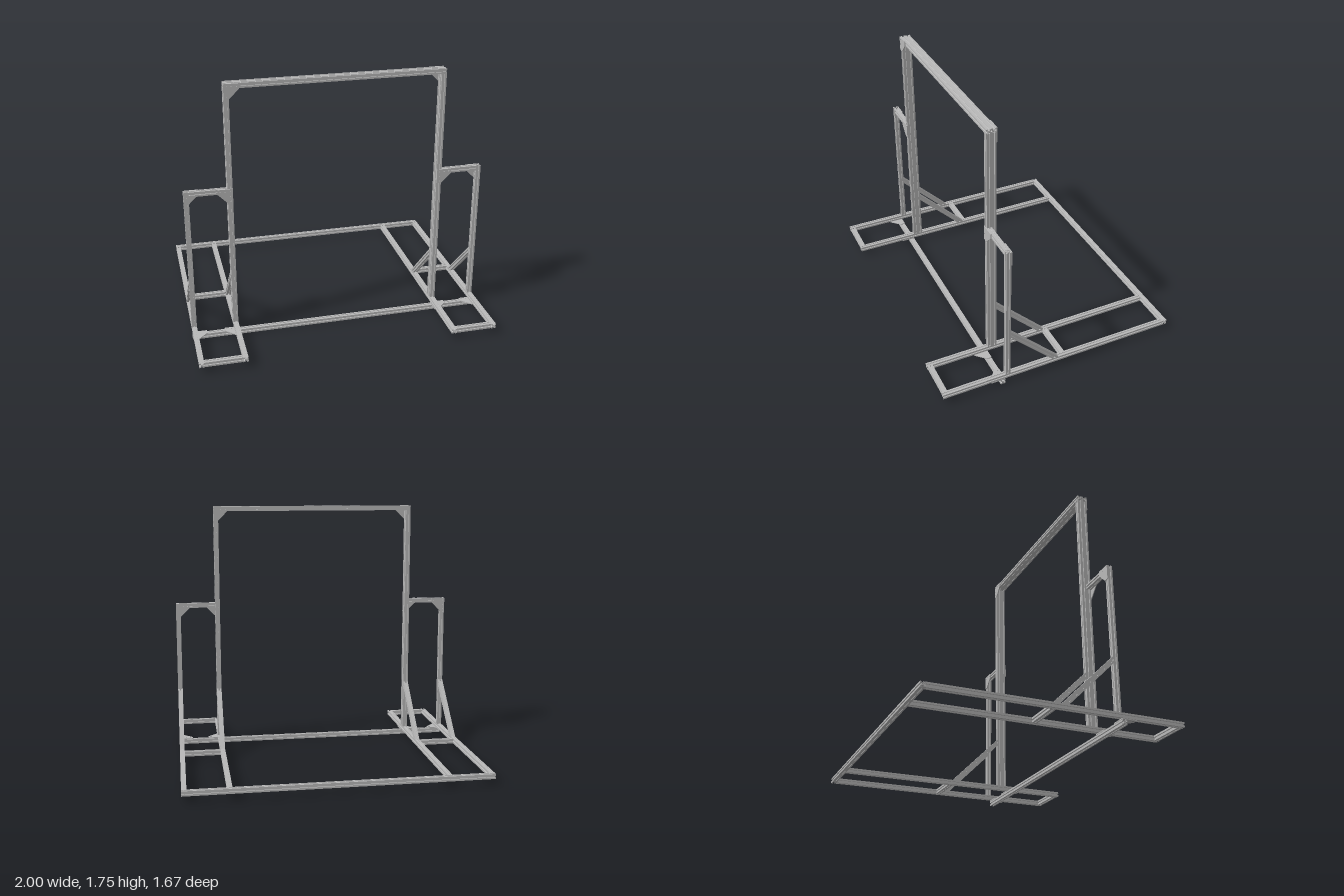
import * as THREE from 'three';

const P = 0.033; // side of one slotted profile cell
const aluminium = new THREE.MeshStandardMaterial({ color: 0xb8b8b8 });
aluminium.name = 'aluminium grey';

// T-slot outline, one or two cells wide along x
function profile(cells) {
  const slot = [[-0.14, 0], [-0.14, 0.07], [-0.28, 0.07], [-0.28, 0.14], [-0.15, 0.29],
    [0.15, 0.29], [0.28, 0.14], [0.28, 0.07], [0.14, 0.07], [0.14, 0]];
  const w = cells / 2, pts = [];
  const side = (cx, cy, dx, dy) => slot.forEach(([t, d]) =>
    pts.push(new THREE.Vector2((cx + dx * t - dy * d) * P, (cy + dy * t + dx * d) * P)));
  const corner = (x, y) => pts.push(new THREE.Vector2(x * P, y * P));
  corner(-w, -0.5);
  for (let i = 0; i < cells; i++) side(-w + 0.5 + i, -0.5, 1, 0);
  corner(w, -0.5);
  side(w, 0, 0, 1);
  corner(w, 0.5);
  for (let i = 0; i < cells; i++) side(w - 0.5 - i, 0.5, -1, 0);
  corner(-w, 0.5);
  side(-w, 0, 0, -1);
  const shape = new THREE.Shape(pts);
  // central bores, plus the cavity between two cells
  const hole = (x, r, n) => {
    const h = new THREE.Path();
    for (let i = 0; i < n; i++) {
      const a = -i * 2 * Math.PI / n;
      h[i ? 'lineTo' : 'moveTo']((x + r * Math.cos(a)) * P, r * Math.sin(a) * P);
    }
    h.closePath();
    shape.holes.push(h);
  };
  for (let i = 0; i < cells; i++) hole(-w + 0.5 + i, 0.1, 8);
  if (cells === 2) hole(0, 0.22, 4);
  return shape;
}

function beamGeometry(length, cells = 1) {
  return new THREE.ExtrudeGeometry(profile(cells), { depth: length, bevelEnabled: false, steps: 1 })
    .translate(0, 0, -length / 2);
}

export function createModel() {
  const model = new THREE.Group();
  model.name = 'profileFrame';
  const add = (name, geometry, x, y, z) => {
    const mesh = new THREE.Mesh(geometry, aluminium);
    mesh.name = name;
    mesh.position.set(x, y, z);
    model.add(mesh);
  };

  // Straight beams along an axis; double profiles are wide in z
  const alongX = (name, x0, x1, y, z, cells = 1) =>
    add(name, beamGeometry(Math.abs(x1 - x0), cells).rotateY(Math.PI / 2), (x0 + x1) / 2, y, z);
  const alongY = (name, x, y0, y1, z, cells = 1) =>
    add(name, beamGeometry(y1 - y0, cells).rotateZ(Math.PI / 2).rotateX(-Math.PI / 2), x, (y0 + y1) / 2, z);
  const alongZ = (name, x, y, z0, z1) =>
    add(name, beamGeometry(z1 - z0), x, y, (z0 + z1) / 2);

  // 45 degree brace mitred flat on the rail and upright on the post
  function brace(name, x, postBack) {
    const foot = 0.0755, run = 0.33, length = run * Math.SQRT2;
    const g = beamGeometry(length), p = g.attributes.position;
    for (let i = 0; i < p.count; i++) {
      p.setZ(i, p.getZ(i) < 0 ? -length / 2 - p.getY(i) : length / 2 + p.getY(i));
    }
    g.rotateX(-Math.PI / 4);
    g.computeVertexNormals();
    add(name, g, x, foot + run / 2, postBack - run / 2);
  }

  // Drilled corner plate: arms run from the corner along s*x and down (or along +z when flat)
  function plate(name, s, x, y, z, flat = false) {
    const size = 0.098, m = P / 2;
    const shape = new THREE.Shape([[0, 0], [size, 0], [size, -P], [P, -size], [0, -size]]
      .map(([a, b]) => new THREE.Vector2(s * a, b)));
    [[m, -m], [0.05, -m], [0.082, -m], [m, -0.05], [m, -0.082]].forEach(([a, b]) => {
      shape.holes.push(new THREE.Path().absarc(s * a, b, 0.004, 0, Math.PI * 2, true));
    });
    const g = new THREE.ExtrudeGeometry(shape, { depth: 0.006, bevelEnabled: false, curveSegments: 8 });
    if (flat) g.rotateX(-Math.PI / 2);
    add(name, g, x, y, z);
  }

  const railY = 0.059, postX = 0.703, outerX = 1 - P / 2;
  const postFront = 0.402, postBack = postFront - 2 * P, outerBack = postFront - P;

  // Base cross beams
  alongX('rearCrossBeam', -1, 1, railY, -0.821);
  alongX('lowerFrontBeam', -1, 1, P / 2, 0.42);

  // Portal top beam
  alongX('portalTopBeam', -postX - P / 2, postX + P / 2, 1.75 - P / 2, (postFront + postBack) / 2, 2);

  for (const s of [-1, 1]) {
    const side = s > 0 ? 'left' : 'right';
    const gapIn = s * (postX + P / 2), gapOut = s * (1 - P);

    // Base rails and short ties
    alongZ(side + 'OuterRail', s * outerX, railY, -0.8045, 0.836);
    alongZ(side + 'InnerRail', s * postX, railY, -0.8045, 0.836);
    alongX(side + 'FrontTie', gapIn, gapOut, railY, 0.816);
    alongX(side + 'BraceTie', gapIn, gapOut, railY, -0.027);

    // Portal post, lower side post and its arm
    alongY(side + 'PortalPost', s * postX, 0.0755, 1.75 - P, (postFront + postBack) / 2, 2);
    alongY(side + 'SidePost', s * outerX, 0.0755, 1.058, postFront - P / 2);
    alongX(side + 'SideArm', gapIn, gapOut, 1.058 - P / 2, postFront - P / 2);

    // Diagonal braces
    brace(side + 'PortalBrace', s * postX, postBack);
    brace(side + 'SideBrace', s * outerX, outerBack);

    // Corner plates
    plate(side + 'PortalPlate', -s, s * (postX + P / 2), 1.75, s < 0 ? postFront : postBack - 0.006);
    plate(side + 'ArmInnerPlate', s, s * (postX - P / 2), 1.058, postFront);
    plate(side + 'ArmOuterPlate', -s, s, 1.058, outerBack - 0.006);
    plate(side + 'BaseInnerPlate', s, s * (postX - P / 2), 0.035, 0.404, true);
    plate(side + 'BaseOuterPlate', -s, s, 0.035, 0.404, true);
  }
  return model;
}
